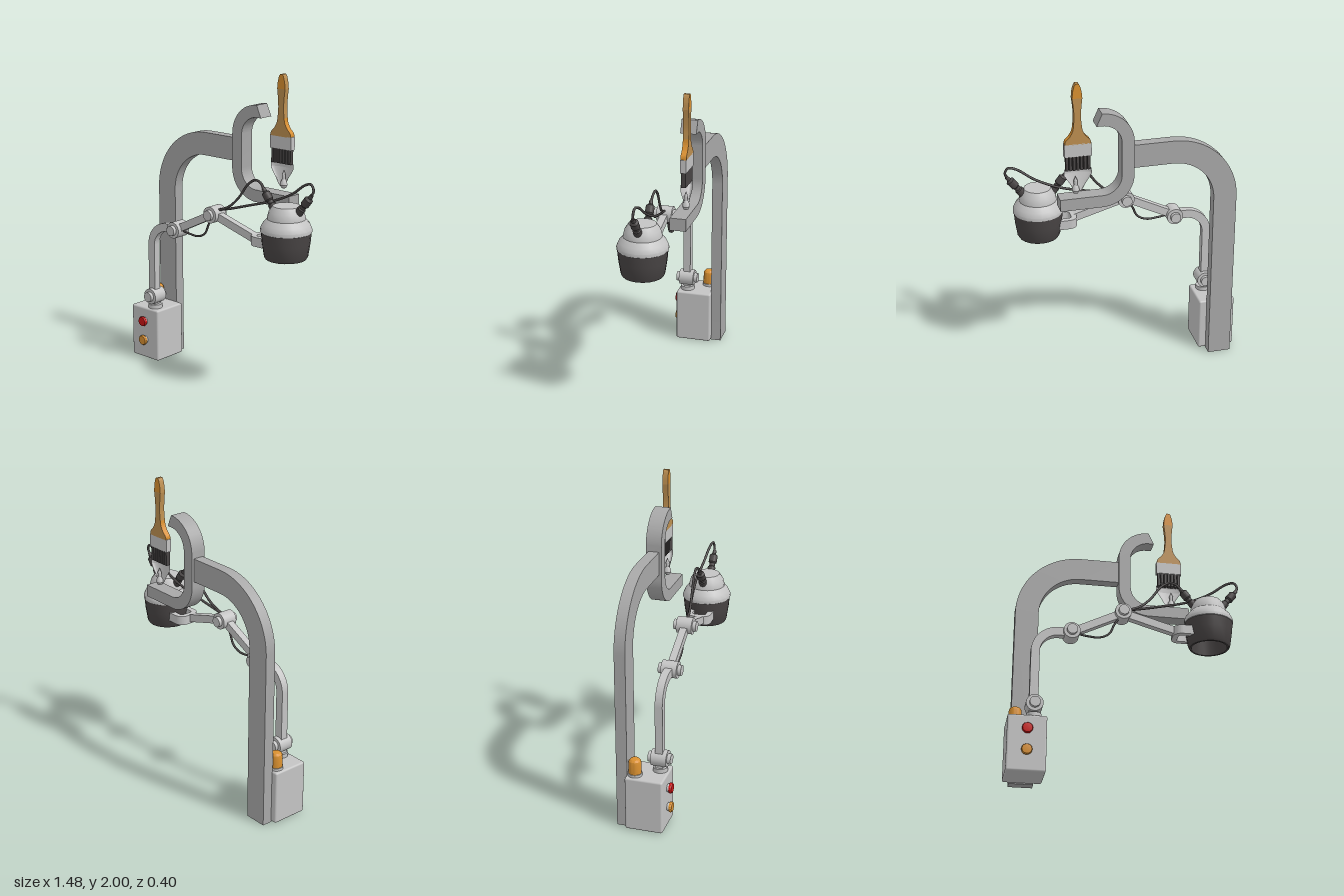
import * as THREE from 'three';
import { toCreasedNormals } from 'three/addons/utils/BufferGeometryUtils.js';
import { RoundedBoxGeometry } from 'three/addons/geometries/RoundedBoxGeometry.js';

const mat = (name, color, side = THREE.FrontSide) => {
  const m = new THREE.MeshStandardMaterial({ color, side });
  m.name = name;
  return m;
};

export function createModel() {
  const root = new THREE.Group();
  const M = {
    steel: mat('steel grey', 0xa8a8a8),
    light: mat('light grey', 0xc4c4c4),
    dark: mat('charcoal', 0x494545, THREE.DoubleSide),
    orange: mat('orange', 0xd99030),
    wood: mat('wood tan', 0xbd8f50),
    red: mat('red', 0xcc1414),
  };
  const V = (x, y, z) => new THREE.Vector3(x, y, z);
  const P = Math.PI;

  const add = (name, geo, material, x = 0, y = 0, z = 0) => {
    const m = new THREE.Mesh(geo, material);
    m.name = name;
    m.position.set(x, y, z);
    root.add(m);
    return m;
  };
  // Flat outline extruded between two depths
  const slab = (name, shape, z0, z1, material) => add(name, toCreasedNormals(
    new THREE.ExtrudeGeometry(shape, { depth: z1 - z0, bevelEnabled: false, curveSegments: 16 }), 0.5), material, 0, 0, z0);
  const lathe = (name, pts, material, x, y, z, seg = 32) => add(name, toCreasedNormals(
    new THREE.LatheGeometry(pts.map(p => new THREE.Vector2(...p)), seg), 0.5), material, x, y, z);
  const tube = (name, pts, r) => add(name,
    new THREE.TubeGeometry(new THREE.CatmullRomCurve3(pts.map(p => V(...p))), 64, r, 8), M.dark);
  // Cylinder lying along z
  const drum = (name, r, len, material, x, y, z, seg = 32) => {
    const m = add(name, new THREE.CylinderGeometry(r, r, len, seg), material, x, y, z);
    m.rotation.x = P / 2;
    return m;
  };

  // Control box with buttons and beacon
  add('controlBox', new RoundedBoxGeometry(0.24, 0.355, 0.24, 3, 0.012), M.light, -0.62, 0.1825, 0);
  [[0.268, M.red, 'redButton'], [0.134, M.orange, 'orangeButton']].forEach(([y, m, name]) => {
    drum(name + 'Collar', 0.026, 0.02, M.light, -0.62, y, 0.128);
    const b = lathe(name, [[0, 0], [0.033, 0], [0.034, 0.01], [0.03, 0.018], [0, 0.021]], m, -0.62, y, 0.133, 12);
    b.rotation.x = P / 2;
  });
  add('beaconBase', new THREE.CylinderGeometry(0.045, 0.045, 0.02, 24), M.light, -0.68, 0.367, -0.07);
  lathe('beacon', [[0.04, 0], [0.04, 0.07], [0.037, 0.085], [0.027, 0.096], [0.014, 0.1], [0, 0.101]],
    M.orange, -0.68, 0.374, -0.07);

  // Tall curved post
  const post = new THREE.Shape();
  post.moveTo(-0.55, 0);
  post.lineTo(-0.55, 1.15);
  post.absarc(-0.28, 1.15, 0.27, P, P / 2, true);
  post.lineTo(-0.03, 1.42);
  post.lineTo(-0.03, 1.57);
  post.lineTo(-0.28, 1.57);
  post.absarc(-0.28, 1.15, 0.42, P / 2, P, false);
  post.lineTo(-0.70, 0);
  slab('post', post, -0.185, -0.115, M.steel);

  // C-shaped bracket at the end of the post
  const c = new THREE.Shape();
  c.moveTo(0.205, 1.80);
  c.absarc(0.17, 1.60, 0.2, P / 2, P, false);
  c.absarc(0.17, 1.385, 0.2, P, 1.5 * P, false);
  c.lineTo(0.435, 1.185);
  c.lineTo(0.435, 1.263);
  c.absarc(0.17, 1.385, 0.122, 1.5 * P, P, true);
  c.absarc(0.17, 1.60, 0.122, P, P / 2, true);
  c.lineTo(0.205, 1.722);
  slab('cBracket', c, -0.2, -0.1, M.steel);

  // Brush handle in three pieces: flare, grip and tip
  const bx = 0.318, bz = -0.173;
  const handlePart = (name, pts, faces, sides) => {
    const s = new THREE.Shape();
    s.moveTo(bx - pts[0][0], pts[0][1]);
    s.lineTo(bx + pts[0][0], pts[0][1]);
    const v = d => pts.map(([w, y]) => new THREE.Vector2(bx + d * w, y));
    s.splineThru(v(1).slice(1));
    const left = v(-1).reverse();
    s.lineTo(left[0].x, left[0].y);
    s.splineThru(left.slice(1));
    slab(name, s, bz - 0.018, bz + 0.018, [faces, sides]);
  };
  handlePart('handleFlare', [[0.08, 1.615], [0.076, 1.64], [0.05, 1.668], [0.032, 1.70], [0.026, 1.73]], M.wood, M.orange);
  handlePart('handleGrip', [[0.026, 1.73], [0.021, 1.79], [0.024, 1.85], [0.031, 1.91]], M.wood, M.wood);
  handlePart('handleTip', [[0.031, 1.91], [0.027, 1.95], [0.018, 1.985], [0.009, 2.0]], M.orange, M.wood);

  // Ferrule, bristles and paint drip
  add('ferrule', new THREE.BoxGeometry(0.168, 0.082, 0.036), M.light, bx, 1.578, bz);
  for (let i = 0; i < 7; i++)
    add('bristles', new THREE.BoxGeometry(0.017, 0.1, 0.028), M.dark, bx + (i - 3) * 0.0225, 1.495, bz);
  const blob = lathe('paint', [[0, 0.165], [0.07, 0.163], [0.086, 0.145], [0.087, 0.115], [0.07, 0.085],
    [0.05, 0.055], [0.032, 0.02], [0.015, 0], [0, -0.004]], M.light, bx, 1.30, bz);
  blob.scale.z = 0.36;
  lathe('paintDrip', [[0, 0], [0.015, 0.006], [0.024, 0.025], [0.02, 0.043], [0.011, 0.06], [0.012, 0.09], [0, 0.12]],
    M.light, 0.333, 1.285, bz, 20);

  // Jointed arm
  const az = 0.06, J = [[-0.578, 0.445], [-0.36, 0.945], [-0.035, 1.105]];
  add('armBase', new THREE.CylinderGeometry(0.047, 0.047, 0.03, 28), M.light, -0.578, 0.372, az);
  J.forEach(([x, y]) => {
    drum('joint', 0.053, 0.1, M.light, x, y, az);
    drum('jointPin', 0.033, 0.146, M.light, x, y, az);
  });
  const low = new THREE.Shape();
  low.moveTo(-0.555, 0.385);
  low.lineTo(-0.555, 0.80);
  low.absarc(-0.44, 0.80, 0.115, P, P / 2, true);
  low.lineTo(-0.36, 0.915);
  low.lineTo(-0.36, 0.97);
  low.absarc(-0.44, 0.80, 0.17, P / 2, P, false);
  low.lineTo(-0.61, 0.385);
  slab('lowerArm', low, az - 0.024, az + 0.024, M.light);
  const link = (name, [x0, y0], [x1, y1]) => {
    const m = add(name, new THREE.BoxGeometry(Math.hypot(x1 - x0, y1 - y0), 0.05, 0.046), M.light,
      (x0 + x1) / 2, (y0 + y1) / 2, az);
    m.rotation.z = Math.atan2(y1 - y0, x1 - x0);
  };
  link('middleArm', J[1], J[2]);
  link('upperArm', J[2], [0.305, 1.008]);

  // Fork holding the head, drawn flat and laid down
  const hx = 0.53, hz = 0.04;
  const fork = new THREE.Shape();
  fork.moveTo(0.44, -0.08);
  fork.lineTo(0.44, -0.045);
  fork.lineTo(0.345, -0.045);
  fork.absarc(0.345, -0.025, 0.02, 1.5 * P, P, true);
  fork.absarc(0.345, 0.025, 0.02, P, P / 2, true);
  fork.lineTo(0.44, 0.045);
  fork.lineTo(0.44, 0.08);
  fork.absarc(0.345, 0.025, 0.055, P / 2, P, false);
  fork.absarc(0.345, -0.025, 0.055, P, 1.5 * P, false);
  const f = slab('fork', fork, 0, 0.06, M.light);
  f.rotation.x = -P / 2;
  f.position.set(0, 0.975, hz);

  // Head: hollow dark cup below, stepped light cover above
  lathe('headCup', [[0, 1.06], [0.10, 1.06], [0.115, 0.92], [0.126, 0.92], [0.135, 0.935], [0.148, 1.02], [0.155, 1.095]],
    M.dark, hx, 0, hz, 20);
  lathe('headCover', [[0.15, 1.085], [0.158, 1.09], [0.158, 1.11], [0.145, 1.14], [0.118, 1.17], [0.117, 1.18],
    [0.108, 1.215], [0.084, 1.25], [0, 1.25]], M.light, hx, 0, hz, 20);
  add('headNozzle', new THREE.CylinderGeometry(0.03, 0.02, 0.08, 16), M.light, hx, 1.02, hz);

  // Plugs on the head
  const plug = (name, a, b) => {
    const d = V(...b).sub(V(...a)), len = d.length();
    const m = lathe(name, [[0, 0], [0.026, 0], [0.026, len * 0.3], [0.019, len * 0.34], [0.019, len * 0.45],
      [0.027, len * 0.5], [0.027, len * 0.78], [0.014, len * 0.85], [0.011, len], [0, len]], M.dark, ...a, 20);
    m.quaternion.setFromUnitVectors(V(0, 1, 0), d.normalize());
  };
  plug('leftPlug', [0.445, 1.2, hz], [0.345, 1.33, hz]);
  plug('rightPlug', [0.615, 1.21, hz], [0.722, 1.345, hz]);

  // Cables
  tube('shortCable', [[0.35, 1.322, 0.04], [0.325, 1.355, 0.037], [0.28, 1.368, 0.035], [0.225, 1.335, 0.038],
    [0.15, 1.235, 0.045], [0.08, 1.17, 0.055], [-0.03, 1.125, 0.065]], 0.008);
  tube('longCable', [[0.712, 1.333, 0.04], [0.73, 1.37, 0.036], [0.71, 1.405, 0.032], [0.66, 1.395, 0.025],
    [0.55, 1.32, 0.012], [0.4, 1.252, 0.005], [0.2, 1.19, 0.03], [0.08, 1.155, 0.05], [-0.03, 1.13, 0.062]], 0.008);
  tube('armCable', [[-0.33, 0.945, az], [-0.25, 0.932, az], [-0.18, 0.93, az], [-0.12, 0.96, az],
    [-0.085, 1.03, az], [-0.045, 1.09, az]], 0.007);

  return root;
}
